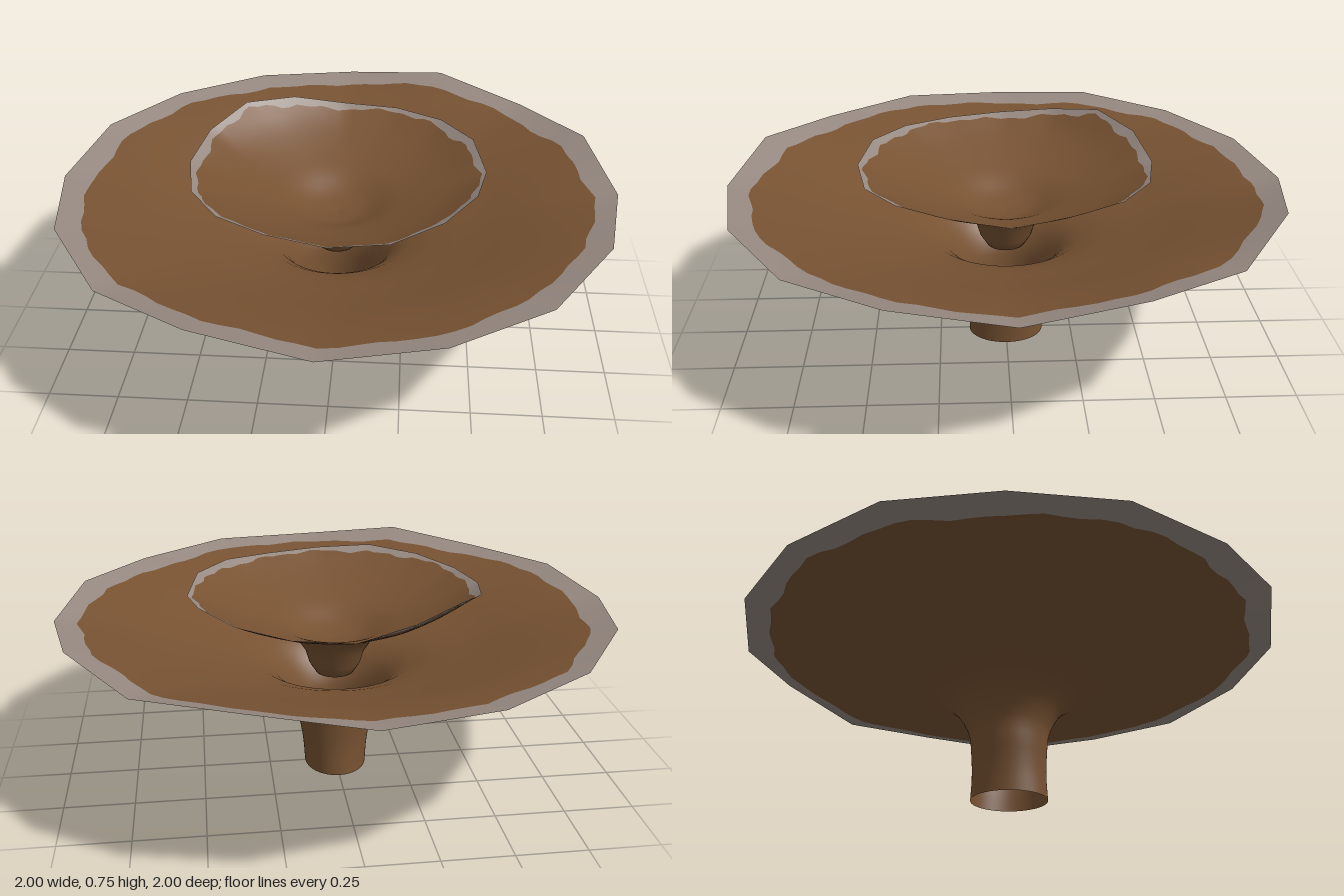
import * as THREE from 'three';

const brown = new THREE.MeshStandardMaterial({ color: 0x775232, side: THREE.DoubleSide });
brown.name = 'brown flesh';
const grey = new THREE.MeshStandardMaterial({ color: 0x968981, side: THREE.DoubleSide });
grey.name = 'pale grey rim';

const SIDES = 16, SUB = 6, N = SIDES * SUB;

// Thin funnel sheet: profile rings [radius, y], a wavy 16-sided rim and a ragged band at its edge.
// rim: height offset at each rim corner, counted from +x towards +z.
function funnel(name, profile, rim, bandWidth, ragged, stretchZ = 0) {
  const R = profile[profile.length - 1][0];
  const curve = new THREE.CatmullRomCurve3(profile.map(([r, y]) => new THREE.Vector3(r, y, 0)), false, 'centripetal');
  const rings = curve.getPoints(profile.length * 3).filter(p => p.x < R - bandWidth - ragged - 0.005);
  const edge = profile[profile.length - 1], inner = rings[rings.length - 1];
  const pos = [], idx = [];
  const count = rings.length + 2;
  for (let i = 0; i < count; i++) {
    for (let j = 0; j < N; j++) {
      const a = j / N * Math.PI * 2, k = Math.floor(j / SUB), f = (j % SUB) / SUB;
      // ragged colour border, then the outer edge
      const wobble = Math.sin(5 * a + 1) * 0.45 + Math.sin(13 * a) * 0.3 + Math.sin(29 * a + 2) * 0.25;
      const rb = R - bandWidth + ragged * wobble;
      let r, y;
      if (i < rings.length) { r = rings[i].x; y = rings[i].y; }
      else if (i === rings.length) {
        r = rb;
        y = THREE.MathUtils.mapLinear(rb, inner.x, R, inner.y, edge[1]);
      } else [r, y] = edge;
      // straight sides near the rim, round towards the stem
      const t = r / R, half = Math.PI / SIDES;
      const flat = Math.cos(half) / Math.cos((f - 0.5) * 2 * half);
      const s = r * THREE.MathUtils.lerp(1, flat, t ** 4);
      const lift = THREE.MathUtils.lerp(rim[k], rim[(k + 1) % SIDES], f) * t ** 5;
      const oval = stretchZ * Math.max(0, 1 - y / 0.2);
      pos.push(s * Math.cos(a) * (1 - oval), y + lift, s * Math.sin(a) * (1 + oval));
    }
  }
  for (let i = 0; i < count - 1; i++) {
    for (let j = 0; j < N; j++) {
      const a = i * N + j, b = i * N + (j + 1) % N;
      idx.push(a, a + N, b, b, a + N, b + N);
    }
  }
  const g = new THREE.BufferGeometry();
  g.setAttribute('position', new THREE.Float32BufferAttribute(pos, 3));
  g.setIndex(idx);
  g.computeVertexNormals();
  const body = (count - 2) * N * 6;
  g.addGroup(0, body, 0);
  g.addGroup(body, N * 6, 1);
  const mesh = new THREE.Mesh(g, [brown, grey]);
  mesh.name = name;
  return mesh;
}

export function createModel() {
  const model = new THREE.Group();
  model.name = 'funnelMushroom';

  // Stem flaring into the wide lower cap
  model.add(funnel('stemAndLowerCap',
    [[0.127, 0], [0.128, 0.09], [0.137, 0.18], [0.155, 0.28], [0.24, 0.395], [0.53, 0.495],
      [0.74, 0.56], [0.91, 0.6], [1, 0.617]],
    [-0.005, 0.015, 0, 0.01, 0, 0.035, 0, 0.01, -0.005, 0.015, 0.005, 0, -0.005, 0.035, 0, 0.028],
    0.09, 0.02, 0.1));

  // Small upper cap, a shallow bowl
  model.add(funnel('upperCap',
    [[0.001, 0.5], [0.1, 0.515], [0.2, 0.56], [0.3, 0.595], [0.42, 0.64], [0.53, 0.69]],
    [-0.005, 0.015, 0.01, -0.005, 0, 0.015, 0.005, -0.005, 0, 0.025, 0.06, 0.035, -0.005, 0, 0.01, 0.018],
    0.026, 0.018));

  // Short neck between the caps
  const neck = new THREE.Mesh(new THREE.LatheGeometry(
    [[0.001, 0.36], [0.07, 0.37], [0.095, 0.41], [0.11, 0.46], [0.145, 0.515], [0.22, 0.565]]
      .map(([r, y]) => new THREE.Vector2(r, y)), 32), brown);
  neck.name = 'upperNeck';
  model.add(neck);

  return model;
}
